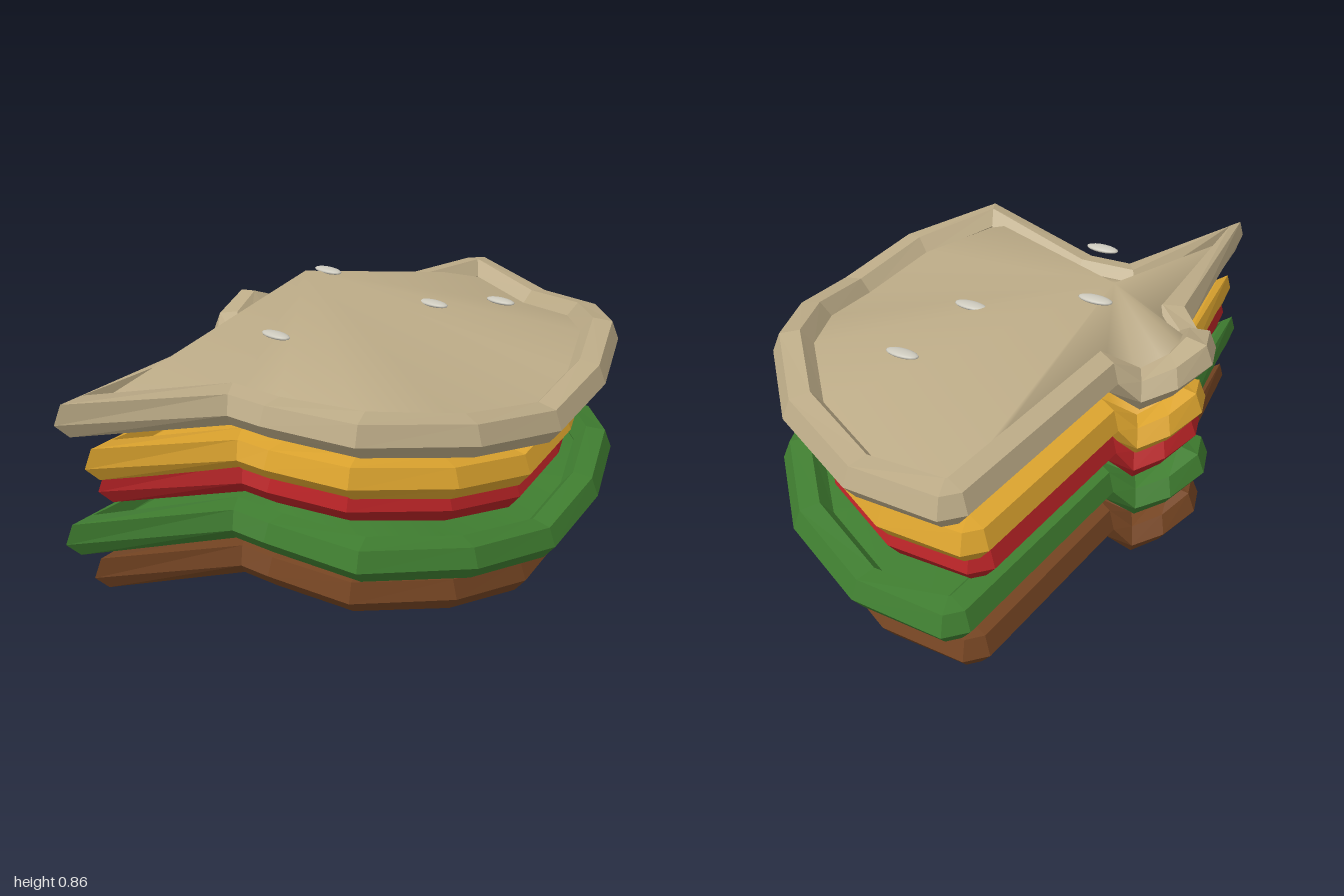
import * as THREE from 'three';

// Centreline of a layer's rim: x, y, z, from the front middle round by the left
const RIM = [
  [0, 0.59, 0.605], [0.28, 0.635, 0.565], [0.53, 0.68, 0.45], [0.75, 0.635, 0.25],
  [0.88, 0.59, -0.035], [0.935, 0.64, -0.33], [0.915, 0.64, -0.348],
  [0.17, 0.66, -0.405], [0.1, 0.59, -0.49], [0.075, 0.65, -0.575], [0, 0.685, -0.608],
  [-0.13, 0.65, -0.565], [-0.21, 0.59, -0.5], [-0.25, 0.64, -0.425],
  [-0.93, 0.64, -0.365], [-0.51, 0.6, -0.17], [-0.5, 0.6, 0],
  [-0.565, 0.68, 0.4], [-0.3, 0.635, 0.56],
].map((p) => new THREE.Vector3(...p));
const RADIUS = 0.062;
const SIDES = 6;
const ROLL = -0.16;

function geometryFrom(points, index) {
  const g = new THREE.BufferGeometry().setFromPoints(points);
  g.setIndex(index);
  g.computeVertexNormals();
  return g;
}

// Hexagonal tube swept round the closed path, rolled slightly outward
function rimGeometry(path) {
  const n = path.length;
  const points = [];
  const index = [];
  const direction = (a, b) => new THREE.Vector2(b.x - a.x, b.z - a.z).normalize();
  path.forEach((p, i) => {
    const t0 = direction(path[(i + n - 1) % n], p);
    const t1 = direction(p, path[(i + 1) % n]);
    const t = t0.clone().add(t1).normalize();
    const mitre = Math.min(1 / Math.max(t.dot(t1), 0.1), 1.15);
    for (let k = 0; k < SIDES; k++) {
      const a = (k / SIDES) * Math.PI * 2 + ROLL;
      const out = Math.cos(a) * RADIUS * mitre;
      points.push(new THREE.Vector3(p.x - t.y * out, p.y + Math.sin(a) * RADIUS, p.z + t.x * out));
      const a0 = i * SIDES + k;
      const d0 = i * SIDES + ((k + 1) % SIDES);
      const b0 = ((i + 1) % n) * SIDES + k;
      const c0 = ((i + 1) % n) * SIDES + ((k + 1) % SIDES);
      index.push(a0, b0, c0, a0, c0, d0);
    }
  });
  return geometryFrom(points, index).toNonIndexed();
}

// Tent-like sheet from the apex to the rim, smooth over its facets
function sheetGeometry(path, apex) {
  const index = [];
  path.forEach((_, i) => index.push(path.length, i, (i + 1) % path.length));
  return geometryFrom([...path, apex], index);
}

export function createModel() {
  const model = new THREE.Group();
  model.name = 'layeredSandwich';

  // name, colour, plan scale, z shift, y shift, apex height before the shift
  const layers = [
    ['bun', 0xbcab87, 1, 0, 0, 0.86],
    ['cheese', 0xdba32e, 0.9, -0.04, -0.17, 0.725],
    ['tomato', 0xb52225, 0.86, -0.05, -0.255, 0.725],
    ['lettuce', 0x3f7d30, 1, 0, -0.38, 0.725],
    ['patty', 0x744422, 0.9, -0.04, -0.532, 0.725],
  ];
  for (const [name, color, s, dz, dy, apexY] of layers) {
    const place = (p) => new THREE.Vector3(p.x * s, p.y + dy, p.z * s + dz);
    const path = RIM.map(place);
    const mat = new THREE.MeshStandardMaterial({ color, side: THREE.DoubleSide });
    mat.name = name + 'Colour';
    const layer = new THREE.Group();
    layer.name = name;
    const rimShape = rimGeometry(path);
    rimShape.computeVertexNormals();
    const rim = new THREE.Mesh(rimShape, mat);
    rim.name = name + 'Rim';
    const apex = place(new THREE.Vector3(0, apexY, -0.345));
    const sheet = new THREE.Mesh(sheetGeometry(path, apex), mat);
    sheet.name = name + 'Sheet';
    layer.add(rim, sheet);
    model.add(layer);
  }

  // Seeds on the bun
  const seedMaterial = new THREE.MeshStandardMaterial({ color: 0xcbc8bc });
  seedMaterial.name = 'seedColour';
  const seedGeometry = new THREE.SphereGeometry(1, 16, 10);
  for (const [x, y, z] of [[0.093, 0.843, -0.33], [-0.35, 0.782, -0.135], [0.2, 0.779, 0.03], [0.477, 0.732, 0.095]]) {
    const seed = new THREE.Mesh(seedGeometry, seedMaterial);
    seed.name = 'seed';
    seed.scale.set(0.024, 0.01, 0.055);
    seed.position.set(x, y, z);
    model.add(seed);
  }
  return model;
}
